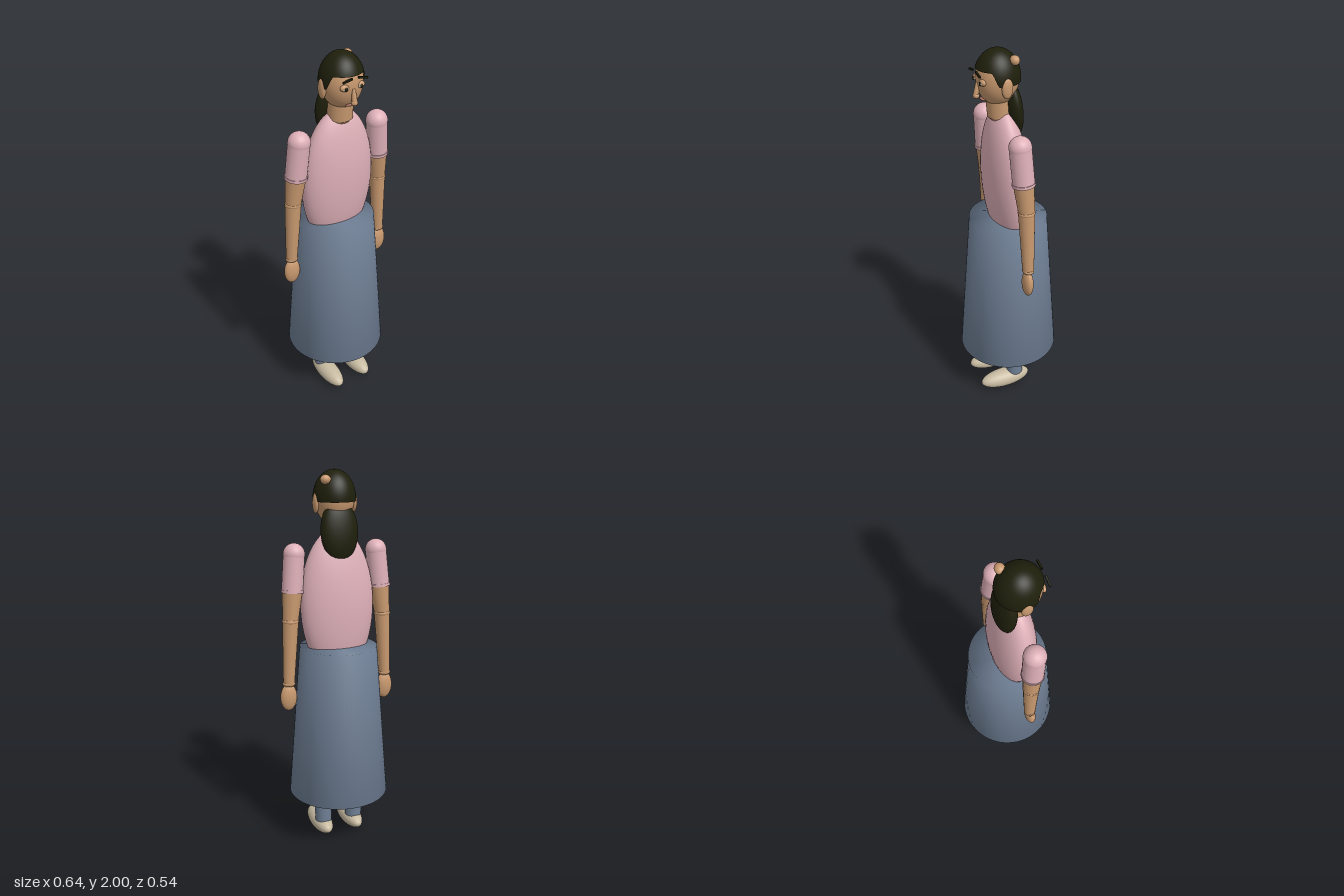
import * as THREE from 'three';

const material = (name, color) => {
  const m = new THREE.MeshStandardMaterial({ color });
  m.name = name;
  return m;
};

export function createModel() {
  const model = new THREE.Group();
  model.name = 'woman';
  const skin = material('skin', 0xc8996f);
  const hair = material('dark hair', 0x1f1f0c);
  const pink = material('pink blouse', 0xdeb0b8);
  const blue = material('slate blue', 0x708096);
  const cream = material('cream shoe', 0xc8bba2);
  const white = material('eye white', 0xd8cfc0);
  const lip = material('lip', 0xa8705f);
  const V = (p) => new THREE.Vector3(...p);

  const add = (name, geometry, mat, pos = [0, 0, 0], rot = [0, 0, 0], parent = model) => {
    const mesh = new THREE.Mesh(geometry, mat);
    mesh.name = name;
    mesh.position.set(...pos);
    mesh.rotation.set(...rot);
    parent.add(mesh);
    return mesh;
  };
  const ellipsoid = (name, mat, pos, radii, rot, parent) => {
    const mesh = add(name, new THREE.SphereGeometry(1, 40, 28), mat, pos, rot, parent);
    mesh.scale.set(...radii);
    return mesh;
  };
  // Tapered limb running from a down to b
  const limb = (name, mat, a, b, ra, rb, parent) => {
    const dir = V(a).sub(V(b));
    const mesh = add(name, new THREE.CylinderGeometry(ra, rb, dir.length(), 32), mat,
      V(a).add(V(b)).multiplyScalar(0.5).toArray(), [0, 0, 0], parent);
    mesh.quaternion.setFromUnitVectors(new THREE.Vector3(0, 1, 0), dir.normalize());
    return mesh;
  };

  // Skirt and blouse
  const skirtProfile = [[0, 0.27], [0.27, 0.27], [0.205, 1.1], [0, 1.1]].map((p) => new THREE.Vector2(...p));
  add('skirt', new THREE.LatheGeometry(skirtProfile, 64), blue);
  ellipsoid('torso', pink, [0, 1.32, 0.018], [0.2, 0.39, 0.106], [0.045, 0, 0]);

  // Neck and head
  limb('neck', skin, [0, 1.77, 0.05], [0, 1.67, 0.042], 0.063, 0.063);
  ellipsoid('neckBase', skin, [0, 1.68, 0.042], [0.063, 0.045, 0.063]);
  ellipsoid('head', skin, [0, 1.86, 0.055], [0.103, 0.135, 0.105]);

  // Hair cap: high hairline in front, lower at the sides and back
  const cap = new THREE.SphereGeometry(1, 64, 24, 0, Math.PI * 2, 0, Math.PI / 2);
  const p = cap.attributes.position;
  const n = cap.attributes.normal;
  for (let i = 0; i < p.count; i++) {
    const t = Math.acos(THREE.MathUtils.clamp(p.getY(i), -1, 1)) / (Math.PI / 2);
    const a = Math.atan2(p.getX(i), p.getZ(i));
    const front = THREE.MathUtils.smoothstep(Math.cos(a), 0.25, 0.6);
    const theta = t * Math.acos(THREE.MathUtils.lerp(-0.12, 0.36, front));
    const s = Math.sin(theta);
    p.setXYZ(i, s * Math.sin(a), Math.cos(theta), s * Math.cos(a));
    n.setXYZ(i, p.getX(i), p.getY(i), p.getZ(i));
  }
  const capMat = hair;
  capMat.side = THREE.DoubleSide;
  add('hairCap', cap, capMat, [0, 1.86, 0.055]).scale.set(0.109, 0.14, 0.113);
  ellipsoid('ponytail', hair, [0, 1.7, -0.016], [0.1, 0.155, 0.047], [0.12, 0, 0]);
  ellipsoid('crownBump', skin, [0.069, 1.953, -0.004], [0.027, 0.024, 0.024]);

  // Nose and mouth
  limb('noseBridge', skin, [0, 1.85, 0.155], [0, 1.785, 0.166], 0.009, 0.014);
  ellipsoid('noseTip', skin, [0, 1.784, 0.164], [0.017, 0.015, 0.016]);
  ellipsoid('mouth', lip, [0, 1.762, 0.131], [0.027, 0.006, 0.012]);

  for (const s of [-1, 1]) {
    const side = new THREE.Group();
    side.name = s > 0 ? 'leftSide' : 'rightSide';
    model.add(side);

    // Ear, eye and eyebrow
    ellipsoid('ear', skin, [s * 0.103, 1.835, 0.048], [0.015, 0.05, 0.028], [0, 0, 0], side);
    ellipsoid('eyelid', skin, [s * 0.042, 1.859, 0.146], [0.025, 0.017, 0.014], [0, 0, 0], side);
    ellipsoid('eye', white, [s * 0.042, 1.855, 0.149], [0.018, 0.011, 0.013], [0, 0, 0], side);
    ellipsoid('iris', hair, [s * 0.042, 1.855, 0.16], [0.008, 0.009, 0.004], [0, 0, 0], side);
    add('eyebrow', new THREE.BoxGeometry(0.052, 0.009, 0.009), hair, [s * 0.042, 1.9, 0.169], [0, 0, -s * 0.18], side);

    // Arm: puffed shoulder, sleeve with cuff, elbow, wrist and hand
    const shoulder = [s * 0.226, 1.588, 0.036];
    const cuff = [s * 0.243, 1.4, 0.024];
    const elbow = [s * 0.258, 1.25, 0.014];
    const wrist = [s * 0.275, 0.915, 0.008];
    ellipsoid('shoulder', pink, shoulder, [0.056, 0.056, 0.056], [0, 0, 0], side);
    limb('sleeve', pink, shoulder, cuff, 0.055, 0.055, side);
    limb('cuff', pink, [s * 0.242, 1.41, 0.025], [s * 0.243, 1.395, 0.024], 0.058, 0.058, side);
    limb('upperArm', skin, cuff, elbow, 0.052, 0.041, side);
    ellipsoid('elbow', skin, elbow, [0.044, 0.022, 0.044], [0, 0, 0], side);
    limb('forearm', skin, elbow, wrist, 0.042, 0.03, side);
    ellipsoid('wrist', skin, wrist, [0.034, 0.018, 0.03], [0, 0, 0], side);
    ellipsoid('hand', skin, [s * 0.277, 0.838, 0.011], [0.045, 0.074, 0.027], [0, 0, 0], side);

    // Leg and shoe
    limb('leg', blue, [s * 0.092, 0.9, 0], [s * 0.09, 0.085, 0], 0.058, 0.046, side);
    ellipsoid('shoe', cream, [s * 0.09, 0.053, 0.058], [0.056, 0.052, 0.147], [0, 0, 0], side);
  }
  return model;
}
